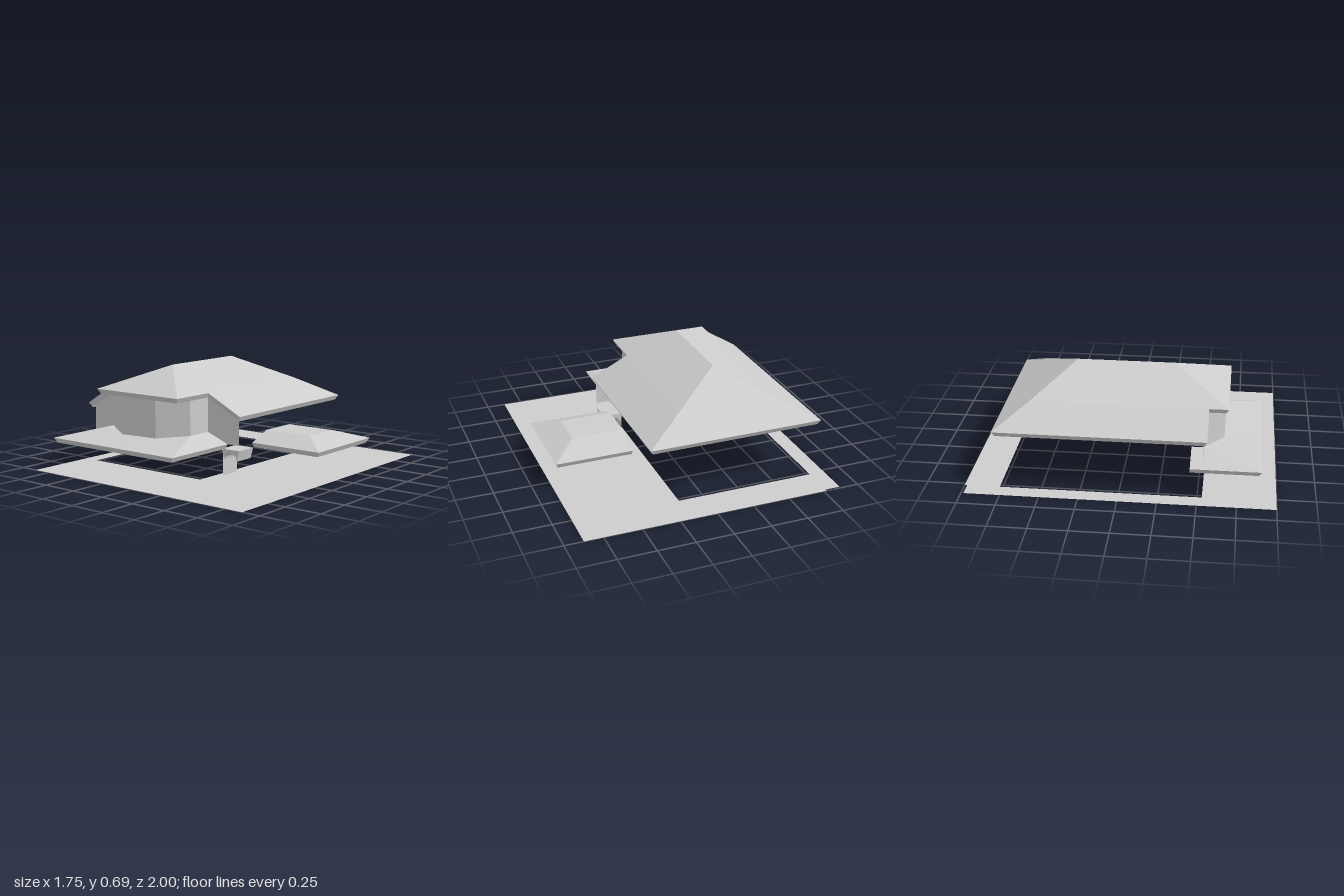
import * as THREE from 'three';

const grey = new THREE.MeshStandardMaterial({ color: 0xcccccc, side: THREE.DoubleSide });
grey.name = 'grey';

// Flat-shaded sheet made of convex polygons, each a loop of [x, y, z] corners
function sheet(name, polygons) {
  const pos = [];
  for (const p of polygons) {
    for (let i = 1; i < p.length - 1; i++) pos.push(...p[0], ...p[i], ...p[i + 1]);
  }
  const geo = new THREE.BufferGeometry();
  geo.setAttribute('position', new THREE.Float32BufferAttribute(pos, 3));
  geo.computeVertexNormals();
  const mesh = new THREE.Mesh(geo, grey);
  mesh.name = name;
  return mesh;
}

// Eaves board that drops below a right-angled outline and leans inwards
function fascia(name, outline, closed, inset = 0.018, drop = 0.033) {
  const n = outline.length;
  const inward = (i) => {
    if (!closed && (i < 0 || i >= n - 1)) return [0, 0];
    const a = outline[(i + n) % n], b = outline[(i + 1) % n];
    const dx = b[0] - a[0], dz = b[2] - a[2], len = Math.hypot(dx, dz);
    return [-dz / len, dx / len];
  };
  const low = outline.map(([x, y, z], i) => {
    const p = inward(i - 1), q = inward(i);
    return [x + (p[0] + q[0]) * inset, y - drop, z + (p[1] + q[1]) * inset];
  });
  const faces = [];
  for (let i = 0; i < (closed ? n : n - 1); i++) {
    const j = (i + 1) % n;
    faces.push([outline[i], outline[j], low[j], low[i]]);
  }
  return sheet(name, faces);
}

// Ground plane with the house footprint left open
function ground() {
  const s = new THREE.Shape([
    [-0.875, 0.985], [-0.77, 0.985], [-0.77, 1], [0.875, 1], [0.875, -1], [-0.875, -1],
  ].map(([x, y]) => new THREE.Vector2(x, y)));
  s.holes.push(new THREE.Path([[-0.77, 0.77], [0.17, 0.77], [0.17, -0.53], [-0.77, -0.53]]
    .map(([x, y]) => new THREE.Vector2(x, y))));
  const mesh = new THREE.Mesh(new THREE.ShapeGeometry(s).rotateX(-Math.PI / 2), grey);
  mesh.name = 'ground';
  return mesh;
}

// Hipped main roof with stepped front corners
function mainRoof() {
  const g = new THREE.Group();
  g.name = 'mainRoof';
  const backRight = [0.37, 0.41, -0.8], stepRight = [0.37, 0.41, 0.37], innerRight = [0.11, 0.54, 0.37];
  const frontRight = [0.11, 0.54, 0.68], frontLeft = [-0.6, 0.54, 0.68], innerLeft = [-0.6, 0.54, 0.555];
  const stepLeft = [-0.81, 0.41, 0.555], backLeft = [-0.81, 0.41, -0.8];
  const ridgeBack = [-0.245, 0.695, -0.325], ridgeFront = [-0.245, 0.695, 0.315];
  const hipRight = [0.11, 0.54, -0.599], hipLeft = [-0.6, 0.54, -0.59];
  g.add(sheet('roofSlopes', [
    [ridgeBack, hipRight, backRight, backLeft, hipLeft],
    [hipRight, innerRight, stepRight, backRight],
    [ridgeBack, ridgeFront, frontRight, hipRight],
    [ridgeFront, frontLeft, frontRight],
    [ridgeBack, hipLeft, frontLeft, ridgeFront],
    [hipLeft, backLeft, stepLeft, innerLeft],
  ]));
  g.add(fascia('roofFascia', [backRight, stepRight, innerRight, frontRight,
    frontLeft, innerLeft, stepLeft, backLeft], true));
  return g;
}

// Lower roof wrapping round the front bay
function porchRoof() {
  const g = new THREE.Group();
  g.name = 'porchRoof';
  const y = 0.215;
  const eaves = [[0.255, y, 0.35], [0.255, y, 0.9], [-0.8, y, 0.9], [-0.8, y, 0.45]];
  const mid = [-0.25, y, 0.9];
  const a = [0.09, 0.277, 0.35], b = [0.09, 0.277, 0.53], c = [-0.1, 0.257, 0.655];
  const d = [-0.4, 0.25, 0.655], e = [-0.6, 0.27, 0.53], f = [-0.6, 0.27, 0.45];
  g.add(sheet('porchSlopes', [
    [eaves[0], a, b, eaves[1]],
    [mid, eaves[1], b, c],
    [mid, c, d, e, eaves[2]],
    [eaves[2], e, f, eaves[3]],
  ]));
  g.add(fascia('porchFascia', eaves, false));
  return g;
}

// Low flat-topped roof at the side, open towards the house
function sideRoof() {
  const g = new THREE.Group();
  g.name = 'sideRoof';
  const y = 0.215, t = 0.277;
  const eaves = [[0.35, y, -0.41], [0.87, y, -0.41], [0.87, y, 0.21], [0.35, y, 0.21]];
  const top = [[0.35, t, -0.215], [0.7, t, -0.215], [0.7, t, 0.055], [0.35, t, 0.055]];
  const faces = [[...top].reverse()];
  for (let i = 0; i < 3; i++) faces.push([eaves[i], top[i], top[i + 1], eaves[i + 1]]);
  g.add(sheet('sideSlopes', faces));
  g.add(fascia('sideFascia', eaves, false));
  return g;
}

// Upper front wall with an angled bay: [x, z, top, bottom]
function frontWall() {
  const plan = [
    [-0.77, 0.53, 0.395, 0.215], [-0.585, 0.53, 0.507, 0.215], [-0.4, 0.655, 0.507, 0.215],
    [-0.1, 0.655, 0.507, 0.215], [0.09, 0.53, 0.507, 0.215], [0.09, 0.35, 0.515, 0.215],
    [0.35, 0.35, 0.385, 0.215],
  ];
  const faces = [];
  for (let i = 0; i < plan.length - 1; i++) {
    const [x, z, t, b] = plan[i], [X, Z, T, B] = plan[i + 1];
    faces.push([[x, b, z], [X, B, Z], [X, T, Z], [x, t, z]]);
  }
  return sheet('frontWall', faces);
}

// Arched block with a thin post below it
function archBlock() {
  const g = new THREE.Group();
  g.name = 'archBlock';
  const s = new THREE.Shape();
  s.moveTo(0.205, 0.18);
  s.lineTo(0.228, 0.108);
  s.absarc(0.279, 0.108, 0.051, Math.PI, 0, true);
  s.lineTo(0.35, 0.18);
  const geo = new THREE.ExtrudeGeometry(s, { depth: 0.15, bevelEnabled: false, curveSegments: 8 });
  const arch = new THREE.Mesh(geo.translate(0, 0, 0.2), grey);
  arch.name = 'arch';
  g.add(arch);
  g.add(sheet('post', [[[0.215, 0, 0.35], [0.215, 0, 0.2], [0.215, 0.15, 0.2], [0.215, 0.15, 0.35]]]));
  return g;
}

export function createModel() {
  const model = new THREE.Group();
  model.name = 'house';
  model.add(ground(), mainRoof(), porchRoof(), sideRoof(), frontWall(), archBlock());
  return model;
}
